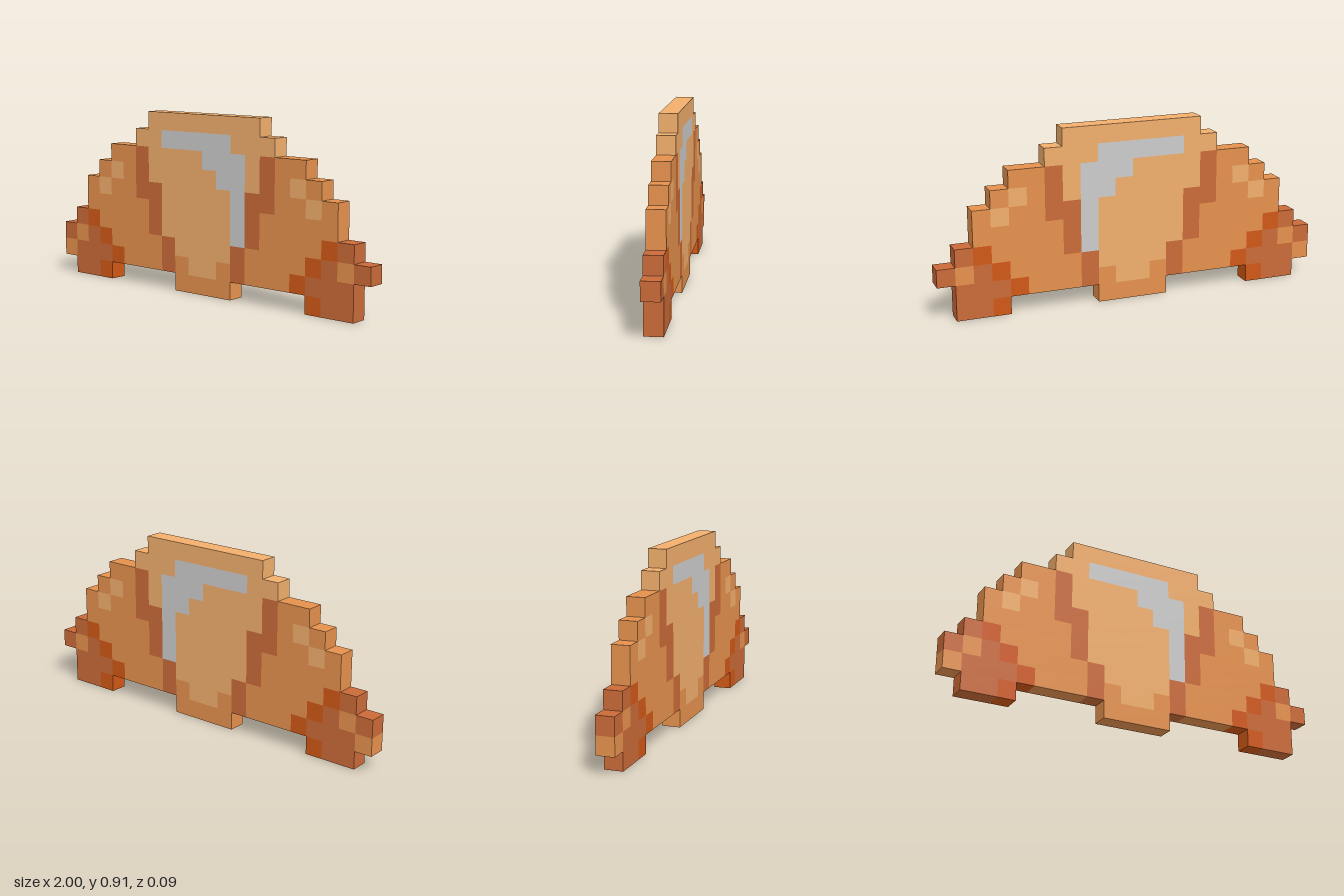
import * as THREE from 'three';
import { mergeGeometries } from 'three/addons/utils/BufferGeometryUtils.js';

// Pixel map, top row first
const ROWS = [
  '       LLLLLLLL       ',
  '      LLGGGGGLLL      ',
  '    MMDLLLLGGGLDMM    ',
  '   MLMDLLLLLGGLDMLM   ',
  '  MLMMDDLLLLLGDDMMLM  ',
  '  MMMMMDLLLLLGDMMMMM  ',
  ' DRMMMMDLLLLLGDMMMMRD ',
  'DMDRMMMMDLLLLDMMMMRDMD',
  'MDDDRMMMDMLLMDMMMRDDD ',
  ' DDR     MMMM     RDD ',
];

const PARTS = {
  L: ['lightCrust', 0xf1ae6c],
  M: ['crust', 0xe5914d],
  D: ['darkFolds', 0xca6a38],
  R: ['toastedTips', 0xd05816],
  G: ['shine', 0xcccccc],
};

const CELL = 1 / 11;
const HALF = CELL / 2;
const at = (row, col) => (ROWS[row] && ROWS[row][col]) || ' ';

// One rectangle, turned to face its side and moved into place
function face(w, h, rx, ry, x, y, z) {
  return new THREE.PlaneGeometry(w, h).rotateX(rx).rotateY(ry).translate(x, y, z);
}

// All outer faces of the cells with one key
function partGeometry(key) {
  const faces = [];
  const q = Math.PI / 2;
  ROWS.forEach((line, row) => {
    const y = (ROWS.length - row - 0.5) * CELL;

    // Front and back: one strip per run of equal cells
    for (let col = 0; col < line.length; col++) {
      if (line[col] !== key) continue;
      let end = col;
      while (line[end] === key) end++;
      const w = (end - col) * CELL;
      const x = -1 + (col + end) * HALF;
      faces.push(face(w, CELL, 0, 0, x, y, HALF), face(w, CELL, 0, Math.PI, x, y, -HALF));
      col = end;
    }

    // Stepped rim: only the sides with no neighbour
    for (let col = 0; col < line.length; col++) {
      if (line[col] !== key) continue;
      const x = -1 + (col + 0.5) * CELL;
      if (at(row - 1, col) === ' ') faces.push(face(CELL, CELL, -q, 0, x, y + HALF, 0));
      if (at(row + 1, col) === ' ') faces.push(face(CELL, CELL, q, 0, x, y - HALF, 0));
      if (at(row, col + 1) === ' ') faces.push(face(CELL, CELL, 0, q, x + HALF, y, 0));
      if (at(row, col - 1) === ' ') faces.push(face(CELL, CELL, 0, -q, x - HALF, y, 0));
    }
  });
  return mergeGeometries(faces);
}

export function createModel() {
  const group = new THREE.Group();
  group.name = 'pixelCroissant';
  for (const [key, [name, color]] of Object.entries(PARTS)) {
    const material = new THREE.MeshStandardMaterial({ color });
    const mesh = new THREE.Mesh(partGeometry(key), material);
    mesh.name = name;
    group.add(mesh);
  }
  return group;
}
